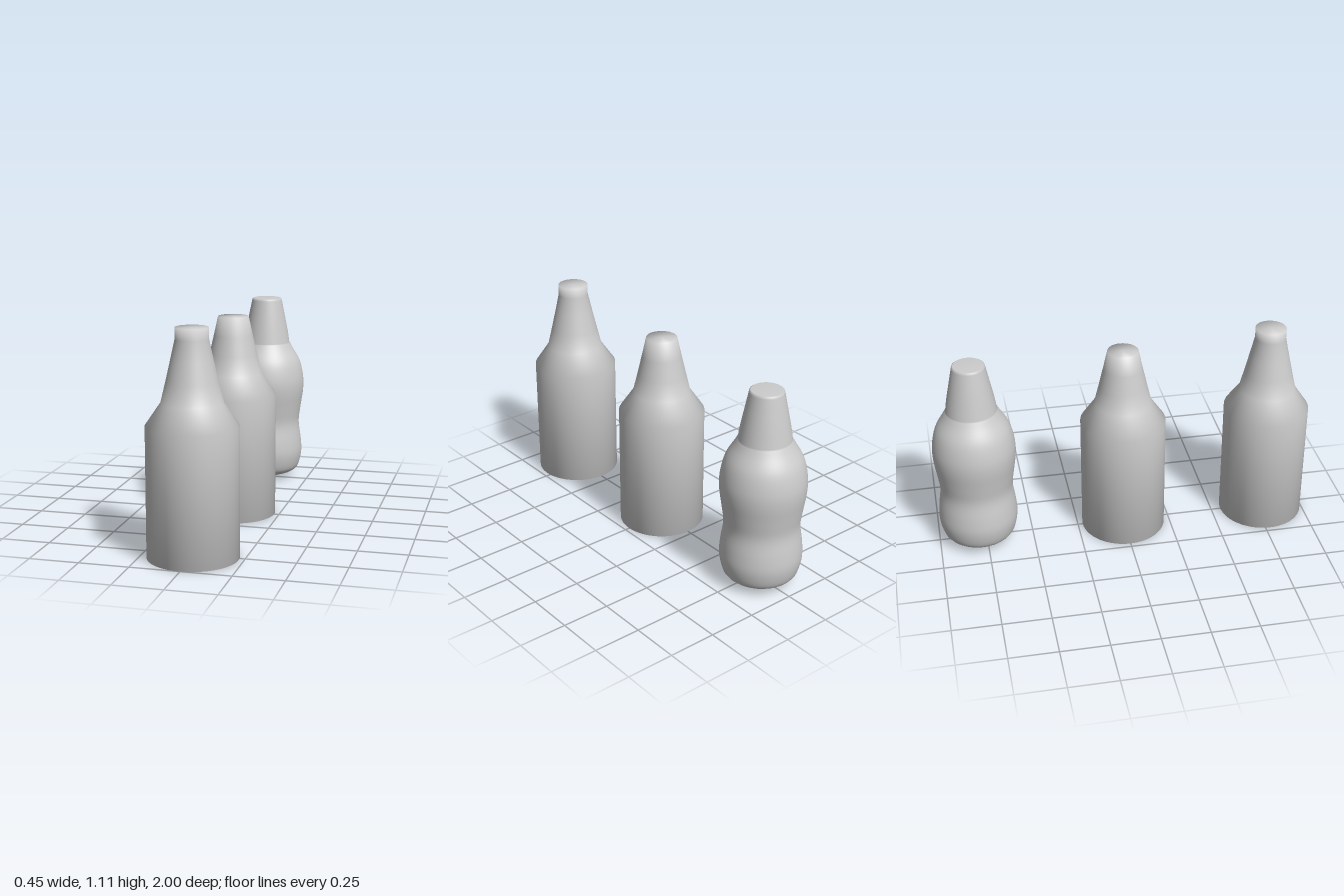
import * as THREE from 'three';

const SEGMENTS = 64;
const material = new THREE.MeshStandardMaterial({ color: 0xcccccc, side: THREE.DoubleSide });
const toPoints = (pairs) => pairs.map(([r, y]) => new THREE.Vector2(r, y));

// Turned solid from a bottom-to-top profile of [radius, height]
function turned(name, points, z) {
  const mesh = new THREE.Mesh(new THREE.LatheGeometry(points, SEGMENTS), material);
  mesh.name = name;
  mesh.position.z = z;
  return mesh;
}

// Straight body, sloped shoulder and tapering neck
const straightProfile = [
  [0, 0], [0.224, 0], [0.224, 0.645], [0.149, 0.755],
  [0.125, 0.855], [0.102, 0.955], [0.08, 1.055],
];

// Waisted bottle with a rounded, finely fluted foot
function waistedBottle(z) {
  const body = new THREE.SplineCurve(toPoints([
    [0.12, 0.024], [0.165, 0.043], [0.191, 0.075], [0.207, 0.15], [0.203, 0.23], [0.19, 0.33],
    [0.2, 0.42], [0.214, 0.52], [0.213, 0.6], [0.192, 0.69], [0.15, 0.765], [0.131, 0.8],
  ])).getPoints(44);
  const profile = [
    ...toPoints([[0, 0.008], [0.06, 0.013]]), ...body,
    ...toPoints([[0.122, 0.86], [0.104, 0.95], [0.086, 1.04], [0.083, 1.05], [0.077, 1.054], [0, 1.055]]),
  ];
  const mesh = turned('waistedBottle', profile, z);

  // Shallow flutes fade in and out around the foot
  const pos = mesh.geometry.attributes.position;
  for (let i = 0; i < pos.count; i++) {
    const fade = Math.max(0, 1 - Math.abs(pos.getY(i) - 0.06) / 0.045);
    const step = Math.floor(i / profile.length);
    const k = 1 + 0.006 * fade * Math.cos(step * Math.PI / 2);
    pos.setX(i, pos.getX(i) * k);
    pos.setZ(i, pos.getZ(i) * k);
  }
  return mesh;
}

export function createModel() {
  const group = new THREE.Group();
  group.name = 'bottles';
  // Front bottle has a short cylindrical lip; the middle one ends at the neck
  group.add(turned('lippedBottle', toPoints([...straightProfile, [0.08, 1.11], [0, 1.11]]), 0.776));
  group.add(turned('plainBottle', toPoints([...straightProfile, [0, 1.055]]), 0));
  group.add(waistedBottle(-0.785));
  return group;
}
